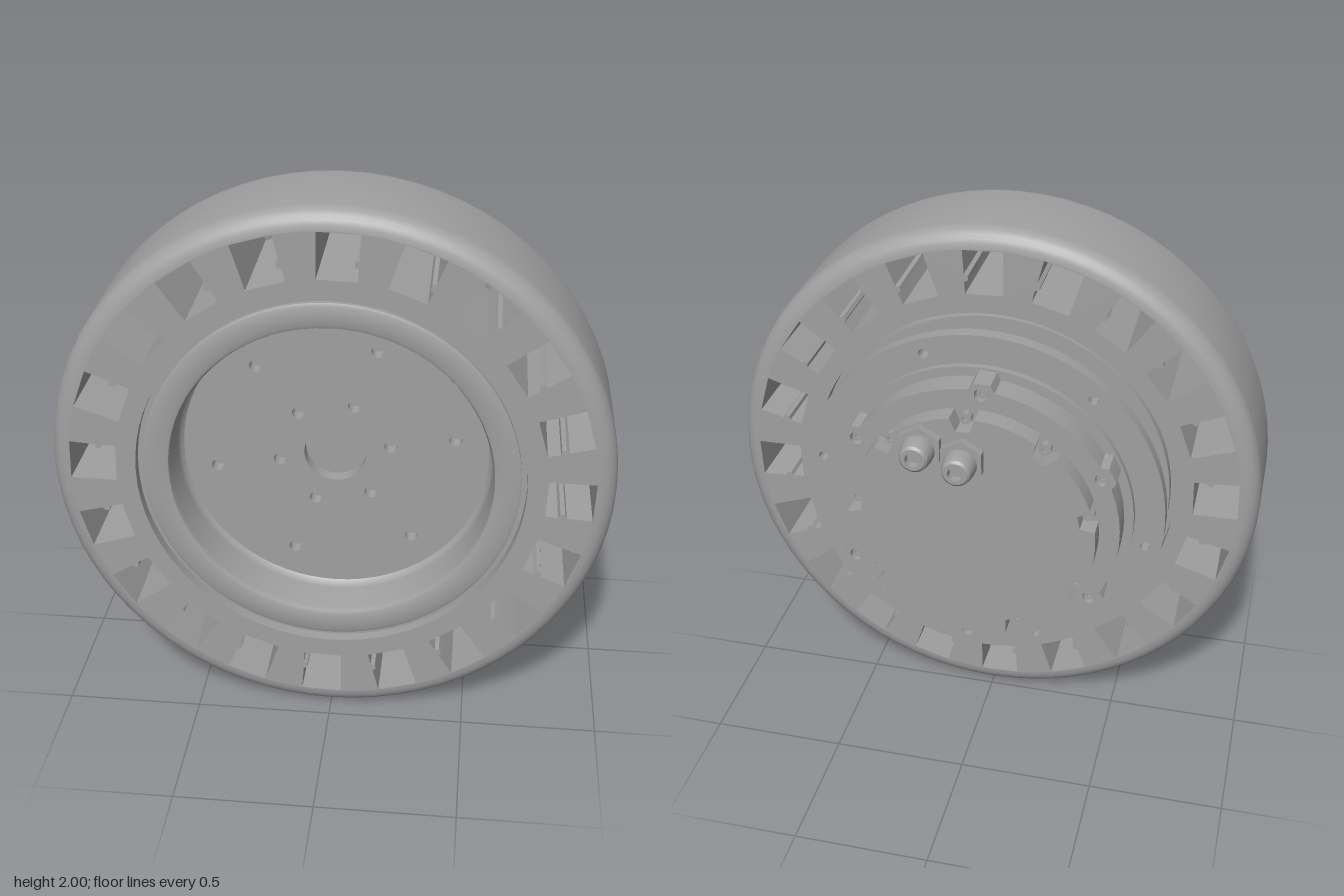
import * as THREE from 'three';
import { toCreasedNormals } from 'three/addons/utils/BufferGeometryUtils.js';

const metal = new THREE.MeshStandardMaterial({ color: 0xa0a0a0 });
metal.name = 'grey metal';

const rad = THREE.MathUtils.degToRad;
const polar = (r, deg) => new THREE.Vector2(r * Math.cos(rad(deg)), r * Math.sin(rad(deg)));

export function createModel() {
  const model = new THREE.Group();
  model.name = 'hubMotorWheel';
  const hub = new THREE.Group();
  hub.name = 'wheelAssembly';
  hub.position.y = 1;
  model.add(hub);

  const add = (name, geo, parent = hub) => {
    const mesh = new THREE.Mesh(toCreasedNormals(geo, 0.55), metal);
    mesh.name = name;
    parent.add(mesh);
    return mesh;
  };
  // revolve [radius, z] pairs about the axle, listed from back to front
  const turned = (name, pts, segments = 72, parent = hub) =>
    add(name, new THREE.LatheGeometry(pts.map(([r, z]) => new THREE.Vector2(r, z)), segments).rotateX(Math.PI / 2), parent);
  // flat plate between two z positions
  const plate = (name, shape, back, front) =>
    add(name, new THREE.ExtrudeGeometry(shape, { depth: front - back, bevelEnabled: false, curveSegments: 36 }).translate(0, 0, back));
  const disc = (r) => new THREE.Shape().absarc(0, 0, r, 0, Math.PI * 2, false);
  const hole = (x, y, r) => new THREE.Path().absarc(x, y, r, 0, Math.PI * 2, true);
  const ringOfHoles = (shape, count, start, radius, r) => {
    for (let i = 0; i < count; i++) {
      const p = polar(radius, start + (i * 360) / count);
      shape.holes.push(hole(p.x, p.y, r));
    }
    return shape;
  };
  // round outline whose radius changes near evenly spaced angles
  const lobed = (count, start, halfWidth, base, changed) => {
    const pts = [];
    const step = 360 / count;
    for (let i = 0; i < count; i++) {
      const a = start + i * step;
      for (const [d, r] of [[-1.25, base], [-0.8, changed], [0, changed], [0.8, changed], [1.25, base]])
        pts.push(polar(r, a + d * halfWidth));
      const gap = step - 2.5 * halfWidth;
      for (let k = 1; k < 8; k++) pts.push(polar(base, a + 1.25 * halfWidth + (gap * k) / 8));
    }
    return new THREE.Shape(pts);
  };

  // tyre: rounded tread
  const tread = [];
  for (let i = 0; i <= 6; i++) {
    const a = rad(-90 + i * 15);
    tread.push([0.93 + 0.07 * Math.cos(a), 0.07 + 0.07 * Math.sin(a)]);
  }
  for (let i = 0; i <= 6; i++) {
    const a = rad(i * 15);
    tread.push([0.93 + 0.07 * Math.cos(a), 0.38 + 0.07 * Math.sin(a)]);
  }
  turned('tread', tread);

  // tyre body with twenty windows, each with a small bump on one side
  const body = disc(0.93);
  body.holes.push(hole(0, 0, 0.69));
  const outline = [[-0.07, 0.76], [-0.072, 0.805], [-0.058, 0.812], [-0.058, 0.828],
    [-0.072, 0.835], [-0.075, 0.925], [0.072, 0.925], [0.068, 0.76]];
  for (let i = 0; i < 20; i++) {
    const a = rad(88 + i * 18);
    const c = Math.cos(a), s = Math.sin(a);
    body.holes.push(new THREE.Path(outline.map(([u, v]) => new THREE.Vector2(v * c - u * s, v * s + u * c))));
  }
  plate('windowedTyreBody', body, 0, 0.45);

  // rotor: dished drum with shallow grooves next to the tyre
  turned('rotorDrum', [
    [0, 0.02], [0.67, 0.02], [0.67, 0.06], [0.692, 0.06], [0.692, 0.41], [0.67, 0.41], [0.67, 0.425],
    [0.66, 0.43], [0.59, 0.43], [0.578, 0.425], [0.572, 0.41],
    [0.572, 0.28], [0.567, 0.262], [0.555, 0.25], [0.555, 0.2], [0, 0.2],
  ]);
  const floor = disc(0.556);
  floor.holes.push(hole(0, 0, 0.113));
  ringOfHoles(floor, 6, 10, 0.44, 0.023);
  ringOfHoles(floor, 6, 10, 0.205, 0.024);
  plate('hubPlate', floor, 0.2, 0.25);

  // motor housing behind the wheel
  plate('innerHousing', lobed(6, 33, 4, 0.532, 0.558), -0.1, 0.03);
  plate('mountingFlange', ringOfHoles(disc(0.677), 6, 10, 0.62, 0.018), -0.15, -0.1);
  plate('flangeStep', disc(0.567), -0.175, -0.15);
  plate('outerHousing', ringOfHoles(lobed(6, 33, 4, 0.532, 0.558), 6, 33, 0.515, 0.025), -0.275, -0.175);
  plate('endCap', lobed(9, 7, 4.5, 0.457, 0.405), -0.35, -0.27);

  // screws on the housing lobes and in the cap scallops
  const screws = (name, count, start, radius, r, back, front) => {
    for (let i = 0; i < count; i++) {
      const p = polar(radius, start + (i * 360) / count);
      turned(name, [[0, back + 0.01], [r * 0.5, back + 0.01], [r * 0.5, back], [r, back], [r, front]], 12)
        .position.set(p.x, p.y, 0);
    }
  };
  screws('housingScrew', 6, 33, 0.515, 0.02, -0.26, -0.17);
  screws('capScrew', 9, 7, 0.432, 0.022, -0.305, -0.27);

  // two cable glands: hexagonal nut, collar and rounded sleeve
  for (const [x, y] of [[0.02, 0.3], [0.17, 0.335]]) {
    const gland = new THREE.Group();
    gland.name = 'cableGland';
    gland.position.set(x, y, 0);
    hub.add(gland);
    add('glandNut', new THREE.CylinderGeometry(0.085, 0.085, 0.03, 6).rotateX(Math.PI / 2).translate(0, 0, -0.368), gland);
    turned('glandSleeve', [
      [0, -0.43], [0.028, -0.43], [0.028, -0.46], [0.042, -0.46], [0.051, -0.452], [0.056, -0.435],
      [0.06, -0.4], [0.06, -0.39], [0.052, -0.385], [0.052, -0.345],
    ], 24, gland);
  }
  return model;
}
